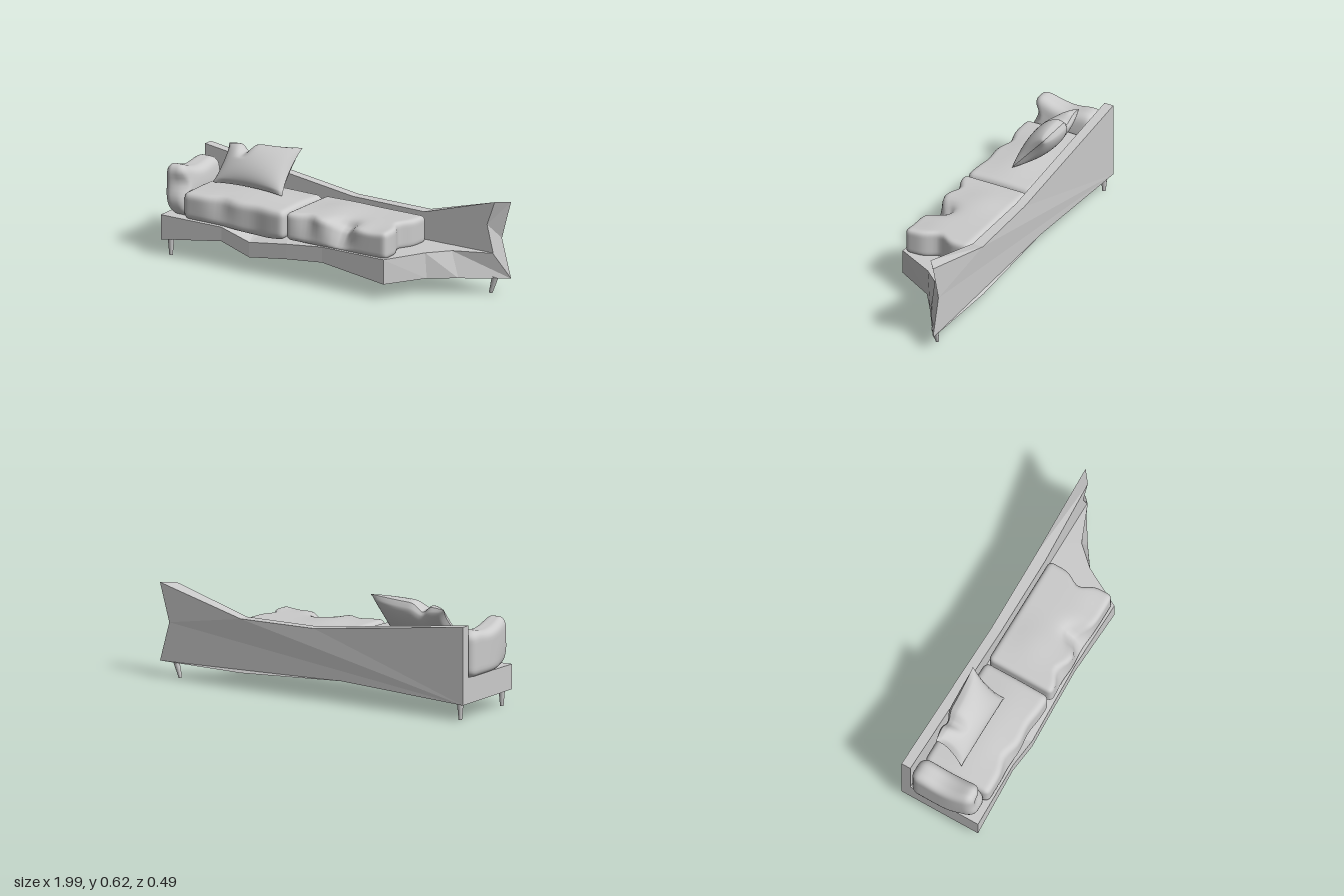
import * as THREE from 'three';
import { mergeVertices } from 'three/addons/utils/BufferGeometryUtils.js';

const grey = new THREE.MeshStandardMaterial({ color: 0xcccccc });
const faceted = new THREE.MeshStandardMaterial({ color: 0xcccccc, flatShading: true });
const bump = (a, c, w) => Math.exp(-(((a - c) / w) ** 2));
const clamp = THREE.MathUtils.clamp;

function add(group, name, geometry, material) {
  const mesh = new THREE.Mesh(geometry, material);
  mesh.name = name;
  group.add(mesh);
  return mesh;
}

function fromTriangles(points) {
  const g = new THREE.BufferGeometry();
  g.setAttribute('position', new THREE.Float32BufferAttribute(points.flat(), 3));
  g.computeVertexNormals();
  return g;
}

// Moves every vertex by a rule and smooths the welded surface
function reshape(geometry, rule) {
  geometry.deleteAttribute('uv');
  geometry.deleteAttribute('normal');
  const g = mergeVertices(geometry, 1e-5);
  const p = g.attributes.position, v = new THREE.Vector3();
  for (let i = 0; i < p.count; i++) {
    rule(v.fromBufferAttribute(p, i));
    p.setXYZ(i, v.x, v.y, v.z);
  }
  g.computeVertexNormals();
  return g;
}

// Soft block between two corners; segments crowd towards the rounded edges
function cushion(min, max, radius, deform) {
  const size = max.map((m, i) => (m - min[i]) / 2);
  const centre = max.map((m, i) => (m + min[i]) / 2);
  return reshape(new THREE.BoxGeometry(2, 2, 2, 32, 18, 28), (v) => {
    const p = v.toArray().map((a, i) => size[i] * Math.sin(a * Math.PI / 2));
    const inner = p.map((a, i) => clamp(a, radius - size[i], size[i] - radius));
    const off = new THREE.Vector3(...p.map((a, i) => a - inner[i])).setLength(radius);
    v.set(...inner).add(off).add(new THREE.Vector3(...centre));
    deform(v);
  });
}

// Low base lofted through stations: front top, front bottom, back bottom, back top
function baseGeometry() {
  const B = -0.23;
  const stations = [
    [[-0.97, 0.23, 0.245], [-0.97, 0.09, 0.245], [-0.97, 0.09, B], [-0.97, 0.235, B]],
    [[-0.58, 0.225, 0.235], [-0.58, 0.145, 0.235], [-0.58, 0.108, B], [-0.58, 0.235, B]],
    [[-0.39, 0.175, 0.245], [-0.39, 0.09, 0.245], [-0.39, 0.118, B], [-0.39, 0.235, B]],
    [[-0.15, 0.205, 0.24], [-0.15, 0.12, 0.24], [-0.18, 0.125, B], [-0.15, 0.235, B]],
    [[0.08, 0.228, 0.235], [0.08, 0.14, 0.235], [0.08, 0.115, B], [0.08, 0.235, B]],
    [[0.49, 0.23, 0.245], [0.49, 0.09, 0.245], [0.49, 0.09, B], [0.49, 0.235, B]],
    [[0.61, 0.233, 0.02], [0.62, 0.09, 0.02], [0.62, 0.09, B], [0.62, 0.235, B]],
    [[0.71, 0.235, -0.09], [0.76, 0.09, -0.08], [0.76, 0.09, B], [0.71, 0.235, B]],
    [[0.92, 0.235, -0.175], [1, 0.09, -0.235], [1, 0.09, -0.236], [0.93, 0.235, -0.19]],
  ];
  const t = [];
  for (let i = 0; i + 1 < stations.length; i++) {
    for (let j = 0; j < 4; j++) {
      const k = (j + 1) % 4, s = stations[i], n = stations[i + 1];
      t.push(s[j], s[k], n[k], s[j], n[k], n[j]);
    }
  }
  const [a, b, c, d] = stations[0], [e, f, g, h] = stations.at(-1);
  t.push(a, d, c, a, c, b, e, f, g, e, g, h);
  return fromTriangles(t);
}

// Sweeping back panel: matching front and back outlines with a notched, bevelled end
function backGeometry() {
  const F = -0.18, B = -0.235;
  const front = [[-0.97, 0.1, F], [-0.18, 0.14, F], [0.47, 0.1, F], [0.92, 0.235, F],
    [0.88, 0.39, F], [0.93, 0.525, F], [0.47, 0.39, F], [0, 0.395, F], [-0.97, 0.525, F]];
  const back = [[-0.97, 0.09, B], [-0.18, 0.125, B], [0.47, 0.09, -0.246], [1, 0.09, B],
    [0.94, 0.31, B], [1, 0.525, B], [0.47, 0.39, -0.243], [0, 0.395, B], [-0.97, 0.525, B]];
  const cap = (loop) => THREE.ShapeUtils.triangulateShape(
    loop.map(([x, y]) => new THREE.Vector2(x, y)), []);
  const t = [];
  for (const [i, j, k] of cap(front)) t.push(front[i], front[j], front[k]);
  for (const [i, j, k] of cap(back)) t.push(back[k], back[j], back[i]);
  front.forEach((p, i) => {
    const n = (i + 1) % front.length;
    t.push(p, back[i], back[n], p, back[n], front[n]);
  });
  return fromTriangles(t);
}

export function createModel() {
  const model = new THREE.Group();
  model.name = 'chaise';
  add(model, 'base', baseGeometry(), faceted);
  add(model, 'backPanel', backGeometry(), faceted);

  // Tapered legs; the one under the long end leans inwards
  for (const [x, z, lean] of [[-0.93, 0.205, 0], [-0.93, -0.2, 0], [0.905, -0.2, -0.3]]) {
    const leg = add(model, 'leg', new THREE.CylinderGeometry(0.019, 0.01, 0.1, 10), grey);
    leg.position.set(x, 0.05, z);
    leg.rotation.z = lean;
  }

  // Seat cushions: crowned tops, creased front edges
  add(model, 'innerSeatCushion', cushion([-0.84, 0.222, -0.17], [-0.18, 0.375, 0.23], 0.035, (v) => {
    const top = clamp((v.y - 0.22) / 0.155, 0, 1), edge = bump(v.z, 0.23, 0.08);
    v.y += top * 0.02 * bump(v.x, -0.5, 0.3) * bump(v.z, 0.03, 0.15);
    v.y -= (1 - top) * 0.022 * bump(v.x, -0.35, 0.17) * edge;
    v.z -= top * 0.035 * bump(v.x, -0.6, 0.07) * edge;
    v.z -= 0.015 * bump(v.x, -0.38, 0.08) * edge;
  }), grey);
  add(model, 'outerSeatCushion', cushion([-0.165, 0.222, -0.165], [0.495, 0.38, 0.232], 0.03, (v) => {
    const top = clamp((v.y - 0.22) / 0.16, 0, 1), edge = bump(v.z, 0.23, 0.1);
    const dents = bump(v.x, 0.19, 0.07) + 0.55 * bump(v.x, -0.03, 0.06);
    v.y -= top * edge * (0.06 * bump(v.x, 0.19, 0.07) + 0.015 * bump(v.x, 0.38, 0.1));
    v.z -= top * edge * 0.08 * dents;
    v.y += top * 0.012 * bump(v.x, 0.05, 0.12) * bump(v.z, 0, 0.12);
    v.x -= 0.045 * bump(v.z, 0.04, 0.06) * bump(v.x, 0.5, 0.12);
  }), grey);

  // Upright end cushion with a sagging top and pinched front
  add(model, 'endCushion', cushion([-0.995, 0.225, -0.172], [-0.855, 0.495, 0.205], 0.05, (v) => {
    const h = (v.y - 0.225) / 0.27, edge = bump(v.z, 0.2, 0.09);
    v.y -= h * (0.028 * bump(v.z, 0, 0.11) + 0.015 * bump(v.z, -0.17, 0.05));
    v.y += h * 0.015 * bump(v.z, 0.17, 0.06);
    v.z -= 0.03 * bump(v.y, 0.4, 0.05) * bump(v.x, -0.87, 0.05) * edge;
    v.z += 0.01 * bump(v.y, 0.31, 0.05) * edge;
    v.x += 0.05 * (1 - h) ** 3 * edge + 0.015 * bump(v.y, 0.36, 0.08) * bump(v.x, -0.85, 0.06);
    v.x += 0.02 * h * bump(v.x, -1, 0.07) * edge;
  }), grey);

  // Leaning throw pillow with a creased upper corner
  const pillow = add(model, 'throwPillow',
    reshape(new THREE.BoxGeometry(2, 2, 2, 32, 24, 1), (v) => {
      const { x: u, y: w, z: s } = v;
      const crease = Math.max(w, 0) * bump(u, -0.4, 0.16);
      v.x = 0.228 * u * (1 - 0.08 * (1 - w * w));
      v.y = 0.143 * w * (1 - 0.1 * (1 - u * u));
      v.z = s * 0.07 * Math.sqrt(Math.max(0, (1 - u * u) * (1 - w * w))) * (1 - 0.35 * crease);
      v.y -= 0.045 * crease + 0.05 * Math.max(w, 0) * clamp(-u - 0.4, 0, 0.6);
      v.z -= 0.02 * crease;
      v.y += 0.012 * u * Math.max(w, 0);
    }), grey);
  pillow.position.set(-0.55, 0.5, -0.065);
  pillow.rotation.x = -0.72;
  return model;
}
